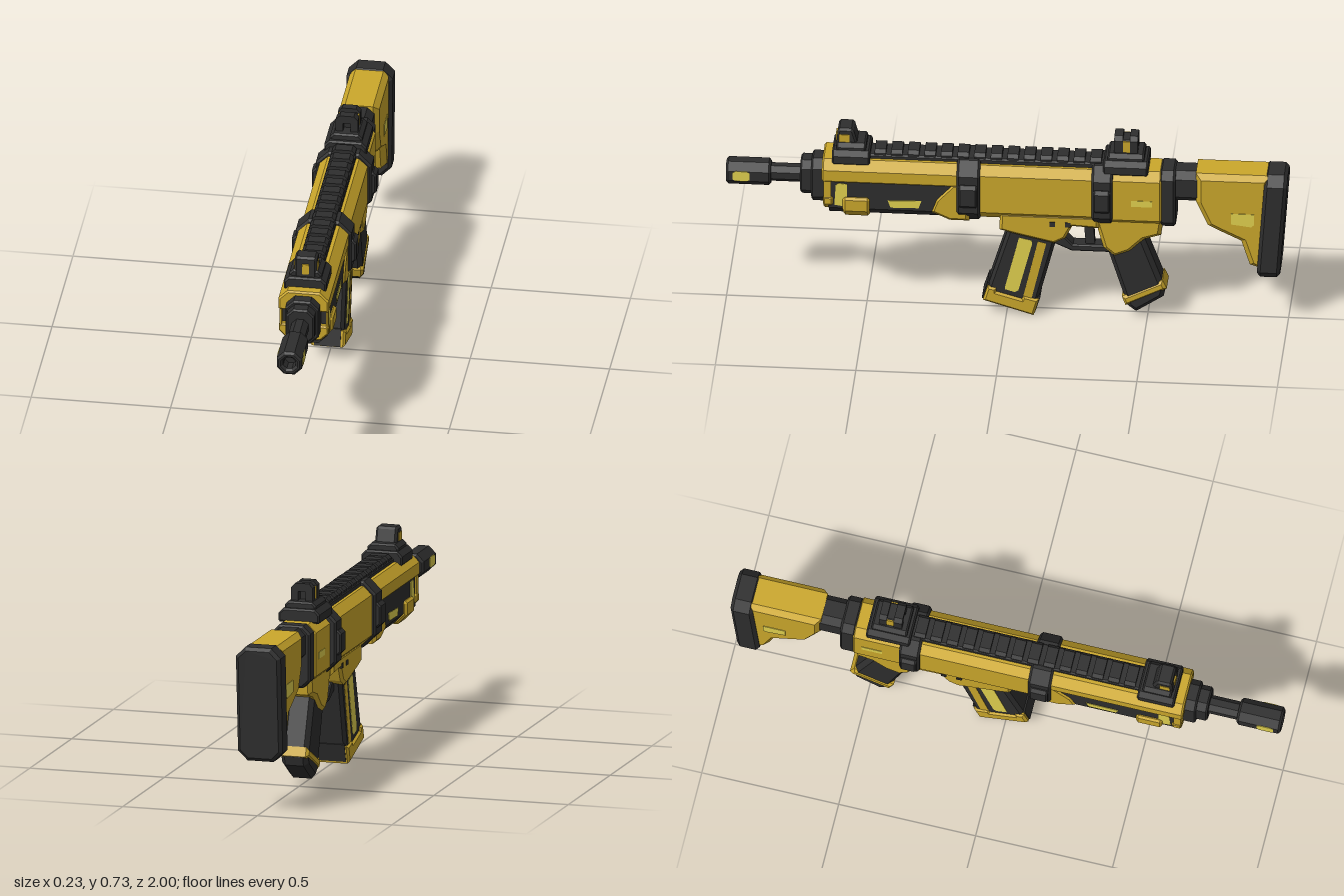
import * as THREE from 'three';

const gold = new THREE.MeshStandardMaterial({ color: 0xcca82b });
gold.name = 'gold';
const dark = new THREE.MeshStandardMaterial({ color: 0x2e2e2e });
dark.name = 'charcoal';
const bright = new THREE.MeshStandardMaterial({ color: 0xe2d24f });
bright.name = 'pale yellow';

const MID = 0.513; // barrel axis height

export function createModel() {
  const root = new THREE.Group();
  root.name = 'rifle';

  const add = (name, geo, mat) => {
    const mesh = new THREE.Mesh(geo, mat);
    mesh.name = name;
    root.add(mesh);
    return mesh;
  };
  const toShape = (pts) => new THREE.Shape(pts.map(([a, b]) => new THREE.Vector2(a, b)));
  const extrude = (shape, length, bevel) => new THREE.ExtrudeGeometry(shape, {
    depth: length - 2 * bevel, bevelEnabled: bevel > 0, bevelSize: bevel,
    bevelThickness: bevel, bevelOffset: -bevel, bevelSegments: 1, curveSegments: 8,
  }).translate(0, 0, bevel);

  // Cross-section in x,y drawn out from z0 to z1
  const prism = (name, shape, z0, z1, mat, bevel = 0) =>
    add(name, extrude(shape, z1 - z0, bevel).translate(0, 0, z0), mat);

  // Side outline in z,y, given thickness across x
  const slabGeo = (pts, half, bevel) =>
    extrude(toShape(pts), half * 2, bevel).translate(0, 0, -half).rotateY(-Math.PI / 2);
  const slab = (name, pts, half, mat, bevel = 0) => add(name, slabGeo(pts, half, bevel), mat);

  // Pair of thin side plates whose outer faces lie at x = +-x
  const plates = (name, pts, x, mat) => [-1, 1].forEach((s) =>
    add(name, slabGeo(pts, 0.004, 0).translate(s * (x - 0.004), 0, 0), mat));

  const rect = (z0, z1, y0, y1) => [[z0, y0], [z1, y0], [z1, y1], [z0, y1]];
  // Rectangle with cut corners, centred on x = 0
  const oct = (w, y0, y1, ct, cb = ct) => toShape([
    [-w + cb, y0], [w - cb, y0], [w, y0 + cb], [w, y1 - ct],
    [w - ct, y1], [-w + ct, y1], [-w, y1 - ct], [-w, y0 + cb]]);
  const ring = (r, sides, hole) => {
    const circle = (rad) => Array.from({ length: sides }, (_, i) => {
      const a = (i + 0.5) / sides * Math.PI * 2;
      return [Math.cos(a) * rad, MID + Math.sin(a) * rad];
    });
    const s = toShape(circle(r));
    if (hole) s.holes.push(toShape(circle(hole)));
    return s;
  };

  // Barrel and muzzle
  prism('muzzle', ring(0.049, 8, 0.024), 0.84, 1, dark, 0.008);
  prism('muzzleBore', ring(0.03, 8), 0.83, 0.95, dark);
  plates('muzzlePort', [[0.915, 0.5], [0.925, 0.494], [0.965, 0.494], [0.975, 0.5],
    [0.975, 0.527], [0.965, 0.533], [0.925, 0.533], [0.915, 0.527]], 0.0465, bright);
  prism('barrel', ring(0.033, 8), 0.6, 0.85, dark);
  prism('barrelCollar', oct(0.05, 0.445, 0.58, 0.025), 0.68, 0.735, dark, 0.006);
  prism('barrelFlange', oct(0.06, 0.42, 0.592, 0.03), 0.62, 0.695, dark, 0.006);

  // Handguard
  prism('handguardCore', oct(0.082, 0.39, 0.58, 0.03, 0.032), 0.14, 0.63, dark);
  prism('handguardTop', oct(0.09, 0.53, 0.608, 0.032, 0.004), 0.14, 0.655, gold, 0.006);
  plates('handguardNoseSide', rect(0.622, 0.648, 0.44, 0.54), 0.087, gold);
  prism('handguardLip', oct(0.09, 0.41, 0.47, 0.008, 0.03), 0.615, 0.65, gold, 0.006);
  prism('handguardFoot', oct(0.094, 0.382, 0.468, 0.008, 0.035), 0.485, 0.58, gold, 0.008);
  plates('handguardFrontInsert', [[0.575, 0.43], [0.61, 0.435], [0.605, 0.515], [0.595, 0.523], [0.565, 0.52], [0.565, 0.46]], 0.084, bright);
  plates('handguardSlot', [[0.42, 0.46], [0.41, 0.432], [0.31, 0.434], [0.3, 0.464]], 0.084, bright);
  slab('handguardRear', [[0.13, 0.54], [0.19, 0.54], [0.25, 0.475], [0.27, 0.42], [0.2, 0.388], [0.13, 0.388]], 0.088, gold, 0.012);

  // Receiver
  prism('receiver', oct(0.086, 0.39, 0.605, 0.03, 0.038), -0.34, 0.15, gold);
  prism('rearReceiver', oct(0.078, 0.385, 0.602, 0.03, 0.03), -0.555, -0.33, gold, 0.008);
  plates('portPanel', rect(-0.52, -0.445, 0.472, 0.496), 0.0795, bright);
  for (const [z0, z1] of [[0.092, 0.175], [-0.38, -0.305]]) {
    prism('band', oct(0.1, 0.38, 0.622, 0.045, 0.05), z0, z1, dark, 0.008);
    prism('bandLug', oct(0.116, 0.455, 0.545, 0.012), z0 + 0.008, z1 - 0.008, dark, 0.006);
  }

  // Magazine well, trigger and guard
  slab('magazineWell', [[0.022, 0.42], [0.024, 0.35], [-0.03, 0.335], [-0.17, 0.303],
    [-0.21, 0.325], [-0.235, 0.375], [-0.33, 0.37], [-0.33, 0.42]], 0.073, gold, 0.01);
  for (const z of [-0.165, -0.22]) plates('pin', rect(z - 0.01, z + 0.01, 0.375, 0.393), 0.0755, dark);
  slab('triggerGuard', [[-0.15, 0.325], [-0.2, 0.315], [-0.235, 0.278], [-0.37, 0.278],
    [-0.37, 0.252], [-0.23, 0.252], [-0.15, 0.288]], 0.028, dark, 0.005);
  slab('trigger', [[-0.27, 0.39], [-0.305, 0.39], [-0.312, 0.27], [-0.28, 0.27]], 0.014, dark);

  // Magazine, with dark spines running over the front and back of its base
  slab('magazine', [[-0.01, 0.36], [-0.18, 0.32], [-0.108, 0.04], [0.072, 0.09]], 0.056, dark, 0.012);
  slab('magazineBase', [[0.084, 0.055], [-0.097, 0.0], [-0.116, 0.065], [-0.06, 0.08],
    [-0.055, 0.066], [0.035, 0.092], [0.035, 0.107], [0.067, 0.112]], 0.063, gold, 0.008);
  slab('magazineFrontSpine', [[0.068, 0.12], [0.088, 0.058], [0.06, 0.05], [0.035, 0.12]], 0.047, dark);
  slab('magazineBackSpine', [[-0.085, 0.012], [-0.101, 0.007], [-0.121, 0.073], [-0.1, 0.078]], 0.05, dark);
  plates('magazineWindow', [[-0.045, 0.315], [-0.09, 0.305], [-0.092, 0.292], [-0.043, 0.1],
    [-0.03, 0.092], [0.004, 0.102], [0.004, 0.115]], 0.0572, bright);
  plates('magazineStripe', [[-0.112, 0.302], [-0.142, 0.295], [-0.09, 0.07], [-0.06, 0.076]], 0.0572, gold);

  // Pistol grip
  slab('gripMount', [[-0.31, 0.42], [-0.33, 0.34], [-0.345, 0.285], [-0.385, 0.252],
    [-0.44, 0.275], [-0.49, 0.325], [-0.55, 0.345], [-0.56, 0.42]], 0.062, gold, 0.014);
  slab('grip', [[-0.35, 0.3], [-0.48, 0.35], [-0.565, 0.12], [-0.558, 0.088], [-0.46, 0.022], [-0.43, 0.045]], 0.05, dark, 0.016);
  slab('gripBand', [[-0.41, 0.085], [-0.555, 0.157], [-0.57, 0.124], [-0.423, 0.05]], 0.054, gold, 0.01);

  // Stock
  prism('stockCollar', oct(0.072, 0.38, 0.606, 0.028), -0.602, -0.545, dark, 0.008);
  prism('stockNeck', oct(0.055, 0.48, 0.6, 0.025), -0.69, -0.59, dark);
  slab('stock', [[-0.674, 0.604], [-0.94, 0.604], [-0.91, 0.225], [-0.866, 0.24],
    [-0.836, 0.335], [-0.76, 0.372], [-0.716, 0.395], [-0.674, 0.49]], 0.07, gold, 0.02);
  plates('stockWindow', [[-0.8, 0.412], [-0.872, 0.403], [-0.882, 0.412], [-0.882, 0.455], [-0.8, 0.455]], 0.072, bright);
  const pad = prism('buttPad', oct(0.083, 0.19, 0.608, 0.035), -1, -0.918, dark, 0.012);
  const p = pad.geometry.attributes.position;
  for (let i = 0; i < p.count; i++) { // lean the lower end forward
    p.setZ(i, p.getZ(i) + Math.max(0, 0.56 - p.getY(i)) * 0.075);
  }
  pad.geometry.computeVertexNormals();

  // Top rail
  prism('rail', oct(0.045, 0.595, 0.624, 0.006), -0.5, 0.62, dark);
  for (let i = 0; i < 14; i++) {
    const z = 0.45 - i * 0.059;
    prism('railTooth', oct(0.042, 0.61, 0.64, 0.012, 0.002), z - 0.02, z + 0.02, dark);
  }

  // Sights on stepped bases
  const sightBase = (name, z0, z1) => {
    prism(name, oct(0.076, 0.595, 0.645, 0.018, 0.004), z0, z1, dark, 0.006);
    prism(name + 'Step', oct(0.058, 0.62, 0.668, 0.014, 0.004), z0 + 0.015, z1 - 0.015, dark, 0.006);
  };
  sightBase('frontSightBase', 0.485, 0.62);
  slab('frontSight', [[0.608, 0.64], [0.525, 0.64], [0.545, 0.712], [0.553, 0.72], [0.595, 0.72], [0.602, 0.712]], 0.04, dark, 0.008);
  prism('frontSightInlay', oct(0.013, 0.655, 0.695, 0.003), 0.6, 0.609, gold);
  plates('frontSightSide', rect(0.56, 0.596, 0.658, 0.698), 0.042, gold);

  sightBase('rearSightBase', -0.505, -0.345);
  for (const [z0, z1] of [[-0.413, -0.382], [-0.466, -0.438]]) {
    const hood = oct(0.04, 0.64, 0.73, 0.015, 0.002);
    hood.holes.push(toShape([[-0.014, 0.65], [0.014, 0.65], [0.014, 0.7], [-0.014, 0.7]]));
    prism('rearSightHood', hood, z0, z1, dark);
  }
  prism('rearSightCore', oct(0.034, 0.64, 0.715, 0.005, 0.002), -0.44, -0.411, dark);
  plates('rearSightSide', rect(-0.438, -0.413, 0.668, 0.712), 0.037, gold);

  return root;
}
